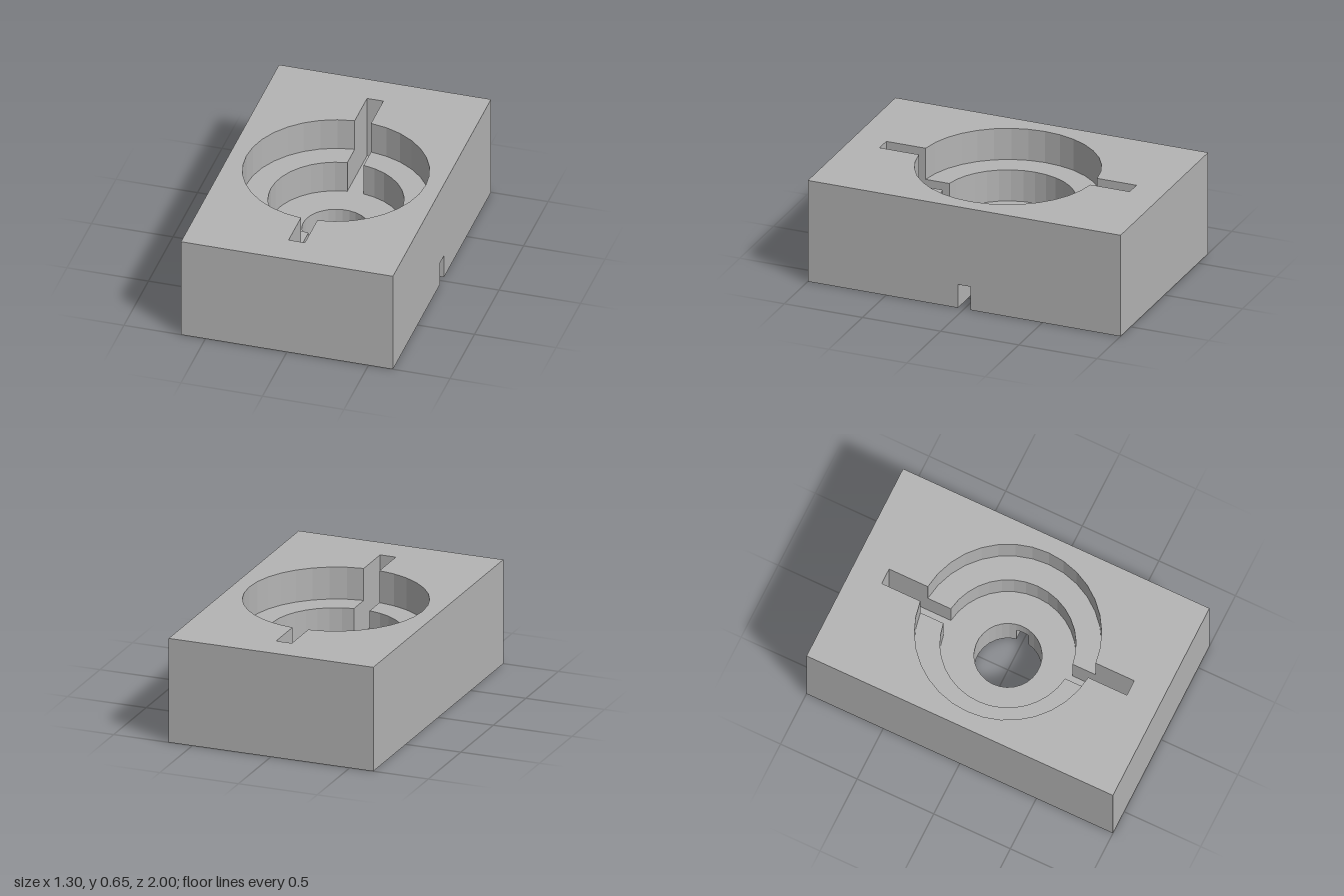
import * as THREE from 'three';

const W = 0.65, L = 1;                                   // half width, half length
const Y = { notch: 0.15, floor: 0.25, ledge: 0.45, top: 0.65 };
const SLOT = 0.05, SLOT_END = 0.8, NOTCH = 0.04, BORE = 0.2;

// plan points are (x, -z), counter-clockwise
const pt = (x, y) => new THREE.Vector2(x, y);
function arc(r, a0, a1, n) {
  return Array.from({ length: n + 1 }, (_, i) => {
    const a = a0 + (a1 - a0) * i / n;
    return pt(r * Math.cos(a), r * Math.sin(a));
  });
}
const mirror = (pts) => pts.map((p) => pt(-p.x, -p.y));

// right-hand half of a pocket circle, cut off by the slot
function halfArc(r) {
  const a = Math.acos(SLOT / r);
  return arc(r, -a, a, 16);
}

// round pocket joined with the lengthwise slot
function keyhole(r) {
  const half = [...halfArc(r), pt(SLOT, SLOT_END)];
  return [...half, pt(-SLOT, SLOT_END), ...mirror(halfArc(r)), pt(-SLOT, -SLOT_END), pt(SLOT, -SLOT_END)];
}

// vertical band; the solid lies to the left of the outline
function wall(pts, y0, y1) {
  const v = [];
  pts.forEach((p, i) => {
    const q = pts[(i + 1) % pts.length];
    v.push(p.x, y0, -p.y, q.x, y0, -q.y, q.x, y1, -q.y);
    v.push(p.x, y0, -p.y, q.x, y1, -q.y, p.x, y1, -p.y);
  });
  const g = new THREE.BufferGeometry();
  g.setAttribute('position', new THREE.Float32BufferAttribute(v, 3));
  g.computeVertexNormals();
  return g;
}

// horizontal face, looking up or down
function cap(pts, y, hole = null, up = true) {
  const s = new THREE.Shape(pts);
  if (hole) s.holes.push(new THREE.Path(hole));
  return new THREE.ShapeGeometry(s).rotateX(up ? -Math.PI / 2 : Math.PI / 2).translate(0, y, 0);
}

export function createModel() {
  const model = new THREE.Group();
  model.name = 'fixtureBlock';
  const grey = new THREE.MeshStandardMaterial({ color: 0xb4b4b4 });
  grey.name = 'grey';
  const add = (name, geometry) => {
    const m = new THREE.Mesh(geometry, grey);
    m.name = name;
    model.add(m);
  };

  const rect = [pt(-W, -L), pt(W, -L), pt(W, L), pt(-W, L)];
  const upper = keyhole(0.55), lower = keyhole(0.4);
  const b = Math.asin(NOTCH / BORE);
  const mouth = arc(BORE, -b, b, 4);                     // bore edge over the notch
  const rest = arc(BORE, b, 2 * Math.PI - b, 28);        // remaining bore edge
  const bore = [...mouth, ...rest.slice(1, -1)];
  const base = [pt(-W, -L), pt(W, -L), pt(W, -NOTCH), ...rest.slice().reverse(),
    pt(W, NOTCH), pt(W, L), pt(-W, L)];

  // outer body and the notched base
  add('bodySides', wall(rect, Y.notch, Y.top));
  add('notchedBaseSides', wall(base, 0, Y.notch));
  add('underside', cap(base, 0, null, false));
  add('notchCeiling', cap([...mouth, pt(W, NOTCH), pt(W, -NOTCH)], Y.notch, null, false));
  add('topFace', cap(rect, Y.top, upper));

  // stepped pocket with the slot
  add('upperPocketWall', wall(upper.slice().reverse(), Y.ledge, Y.top));
  add('lowerPocketWall', wall(lower.slice().reverse(), Y.floor, Y.ledge));
  add('pocketFloor', cap(lower, Y.floor, bore));
  const ledge = [...halfArc(0.55), ...halfArc(0.4).reverse()];
  add('rightLedge', cap(mirror(ledge), Y.ledge));
  add('leftLedge', cap(ledge, Y.ledge));

  // through hole above the notch
  add('boreWall', wall(bore.slice().reverse(), Y.notch, Y.floor));
  return model;
}
